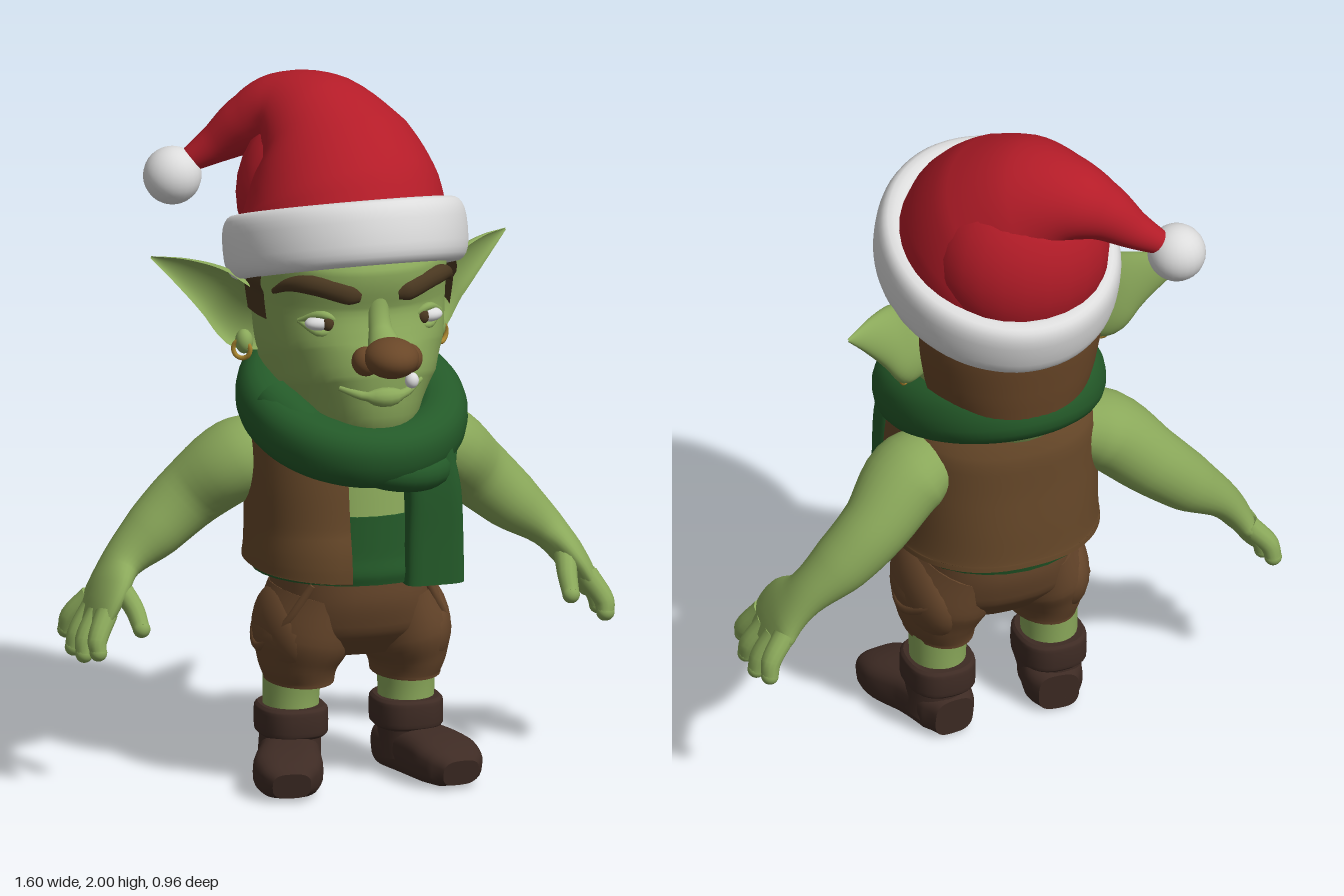
import * as THREE from 'three';

const mat = (name, color) => {
  const m = new THREE.MeshStandardMaterial({ color, side: THREE.DoubleSide });
  m.name = name;
  return m;
};
const V = (x, y, z) => new THREE.Vector3(x, y, z);
const UP = V(0, 1, 0), FRONT = V(0, 0, 1);
const TAU = Math.PI * 2;

// Superelliptic cross-sections [x, y, z, radiusA, radiusB] smoothly joined along a path.
function sweep(rows, { ref = FRONT, n = 2, seg = 28, steps = 5, closed = false, from = 0, to = TAU } = {}) {
  const path = new THREE.CatmullRomCurve3(rows.map(r => V(r[0], r[1], r[2])), closed);
  const size = new THREE.CatmullRomCurve3(rows.map(r => V(r[3], r[4], 0)), closed);
  const full = to - from > TAU - 0.001;
  const count = (closed ? rows.length : rows.length - 1) * steps;
  const rings = closed ? count : count + 1, cols = full ? seg : seg + 1;
  const pos = [], index = [], centres = [];
  for (let j = 0; j < rings; j++) {
    const t = j / count, c = path.getPoint(t), s = size.getPoint(t), T = path.getTangent(t);
    const A = V().crossVectors(T, ref).normalize(), B = V().crossVectors(A, T);
    centres.push(c);
    for (let i = 0; i < cols; i++) {
      const a = from + (to - from) * i / seg, k = Math.cos(a), l = Math.sin(a);
      const u = Math.sign(k) * Math.abs(k) ** (2 / n) * Math.max(s.x, 0.001);
      const v = Math.sign(l) * Math.abs(l) ** (2 / n) * Math.max(s.y, 0.001);
      const p = c.clone().addScaledVector(A, u).addScaledVector(B, v);
      pos.push(p.x, p.y, p.z);
    }
  }
  for (let j = 0; j < count; j++) {
    for (let i = 0; i < seg; i++) {
      const j2 = (j + 1) % rings, i2 = (i + 1) % cols;
      const a = j * cols + i, b = j2 * cols + i, c = j * cols + i2, d = j2 * cols + i2;
      index.push(a, b, c, b, d, c);
    }
  }
  // Flat end caps with their own vertices
  if (!closed && full) {
    for (const j of [0, rings - 1]) {
      const base = pos.length / 3;
      pos.push(...centres[j].toArray(), ...pos.slice(j * cols * 3, (j + 1) * cols * 3));
      for (let i = 0; i < cols; i++) {
        const p = base + 1 + i, q = base + 1 + (i + 1) % cols;
        if (j) index.push(base, q, p); else index.push(base, p, q);
      }
    }
  }
  const g = new THREE.BufferGeometry();
  g.setAttribute('position', new THREE.Float32BufferAttribute(pos, 3));
  g.setIndex(index);
  g.computeVertexNormals();
  return g;
}

// Rows of a tilted loop around the body; the front is raised by `lift`.
const loop = (y, z, rx, rz, lift, ra, rb) => Array.from({ length: 14 }, (_, i) => {
  const a = i / 14 * TAU;
  return [rx * Math.cos(a), y + lift * Math.sin(a), z + rz * Math.sin(a), ra, rb];
});

export function createModel() {
  const root = new THREE.Group();
  const skin = mat('green skin', 0x8aa85a), red = mat('hat red', 0xb41c28), white = mat('white', 0xdcdcdc);
  const green = mat('scarf green', 0x245a29), vestBrown = mat('vest brown', 0x674829);
  const pantsBrown = mat('shorts brown', 0x65452a), dark = mat('boot brown', 0x3e2b24);
  const noseBrown = mat('nose brown', 0x6a4728), hairBrown = mat('hair brown', 0x493720), gold = mat('gold', 0xa8842f);
  const add = (name, geo, material) => {
    const m = new THREE.Mesh(geo, material);
    m.name = name;
    root.add(m);
    return m;
  };
  const ball = (name, material, x, y, z, rx, ry = rx, rz = rx) =>
    add(name, new THREE.SphereGeometry(1, 24, 16).scale(rx, ry, rz).translate(x, y, z), material);
  const mirror = (s, rows) => rows.map(([x, ...rest]) => [x * s, ...rest]);

  // Head and hair
  add('head', sweep([[0, 1.04, 0.045, 0.12, 0.2], [0, 1.09, 0.045, 0.165, 0.285], [0, 1.17, 0.025, 0.22, 0.322],
    [0, 1.27, -0.005, 0.255, 0.318], [0, 1.4, -0.025, 0.268, 0.3], [0, 1.53, -0.025, 0.27, 0.322],
    [0, 1.6, -0.025, 0.24, 0.26]], { n: 2.2, seg: 40 }), skin);
  add('backHair', sweep([[0, 1.12, -0.04, 0.225, 0.29], [0, 1.25, -0.04, 0.265, 0.315], [0, 1.38, -0.04, 0.285, 0.335],
    [0, 1.47, -0.04, 0.285, 0.34]], { n: 2.2, from: Math.PI * 1.08, to: Math.PI * 1.92 }), noseBrown);

  // Nose and mouth
  ball('nose', noseBrown, 0, 1.315, 0.39, 0.078, 0.057, 0.088);
  add('noseBridge', sweep([[0, 1.52, 0.245, 0.03, 0.03], [0, 1.42, 0.262, 0.032, 0.032], [0, 1.37, 0.285, 0.035, 0.035],
    [0, 1.33, 0.33, 0.05, 0.045]]), skin);
  add('lowerLip', sweep([[-0.12, 1.21, 0.285, 0.008, 0.008], [-0.05, 1.19, 0.328, 0.014, 0.014],
    [0.05, 1.19, 0.328, 0.014, 0.014], [0.12, 1.22, 0.285, 0.008, 0.008]], { ref: UP, seg: 12 }), skin);
  ball('tooth', white, 0.08, 1.228, 0.328, 0.02, 0.023, 0.02);

  for (const s of [1, -1]) {
    // Facial features
    const side = s > 0 ? [-0.1, 0.3] : [Math.PI - 0.3, Math.PI + 0.1];
    add('sideburn', sweep([[0, 1.37, -0.03, 0.282, 0.32], [0, 1.45, -0.03, 0.292, 0.33], [0, 1.54, -0.03, 0.292, 0.33]],
      { n: 2.2, seg: 10, from: side[0], to: side[1] }), hairBrown);
    ball('nostril', noseBrown, s * 0.063, 1.3, 0.35, 0.04, 0.042, 0.045);
    ball('eyeWhite', white, s * 0.158, 1.388, 0.222, 0.045, 0.022, 0.03);
    ball('iris', hairBrown, s * 0.14, 1.388, 0.242, 0.018, 0.021, 0.016);
    const lid = dy => mirror(s, [[0.1, 1.386, 0.245, 0.006, 0.006], [0.155, 1.388 + dy, 0.235, 0.012, 0.012],
      [0.21, 1.388, 0.18, 0.006, 0.006]]);
    add('upperEyelid', sweep(lid(0.026), { ref: UP, seg: 12 }), skin);
    add('lowerEyelid', sweep(lid(-0.028), { ref: UP, seg: 12 }), skin);
    add('eyebrow', sweep(mirror(s, [[0.055, 1.47, 0.275, 0.012, 0.018], [0.09, 1.478, 0.272, 0.022, 0.03],
      [0.18, 1.5, 0.225, 0.024, 0.029], [0.23, 1.492, 0.17, 0.018, 0.02], [0.262, 1.46, 0.11, 0.006, 0.008]]),
    { ref: UP, seg: 14 }), hairBrown);

    // Cupped ear and earring
    add('ear', sweep(mirror(s, [[0.22, 1.31, -0.045, 0.08, 0.045], [0.29, 1.345, -0.07, 0.115, 0.055],
      [0.36, 1.41, -0.11, 0.09, 0.045], [0.44, 1.46, -0.155, 0.05, 0.025], [0.525, 1.5, -0.205, 0.003, 0.003]]),
    { ref: V(s * 0.8, 0, 0.4), from: Math.PI * 0.95, to: Math.PI * 2.05 }), skin);
    ball('earLobe', skin, s * 0.285, 1.265, -0.09, 0.025, 0.035, 0.03);
    add('earring', new THREE.TorusGeometry(0.026, 0.007, 8, 20).rotateY(s * 0.7)
      .translate(s * 0.295, 1.245, -0.08), gold);

    // Arm, hand and fingers
    add('arm', sweep(mirror(s, [[0.2, 0.96, -0.1, 0.09, 0.1], [0.3, 0.92, -0.11, 0.112, 0.13],
      [0.42, 0.815, -0.16, 0.1, 0.1], [0.53, 0.715, -0.165, 0.085, 0.09], [0.63, 0.63, -0.15, 0.055, 0.075],
      [0.69, 0.55, -0.11, 0.042, 0.115], [0.73, 0.475, -0.1, 0.03, 0.11]])), skin);
    const fingers = [[[0.71, 0.53, -0.185], [0.762, 0.47, -0.212], [0.77, 0.43, -0.222]],
      [[0.72, 0.51, -0.14], [0.765, 0.44, -0.135], [0.775, 0.4, -0.135]],
      [[0.72, 0.51, -0.08], [0.765, 0.44, -0.06], [0.77, 0.4, -0.05]],
      [[0.71, 0.52, -0.03], [0.75, 0.45, 0.01], [0.75, 0.42, 0.02]],
      [[0.66, 0.585, -0.08], [0.64, 0.535, 0.01], [0.635, 0.49, 0.06]]];
    for (const f of fingers) {
      add('finger', sweep(mirror(s, f.map((p, i) => [...p, 0.032 - i * 0.004, 0.034 - i * 0.004])), { seg: 12 }), skin);
      const [x, y, z] = f[2];
      ball('fingertip', skin, s * x, y, z, 0.025);
    }

    // Shorts leg, pocket and bare leg
    add('shortsLeg', sweep(mirror(s, [[0.12, 0.55, 0.01, 0.11, 0.2], [0.148, 0.43, 0.015, 0.135, 0.19],
      [0.158, 0.36, 0.015, 0.115, 0.16], [0.157, 0.31, 0.015, 0.097, 0.14], [0.157, 0.3, 0.015, 0.096, 0.138]])), pantsBrown);
    ball('pocketBulge', pantsBrown, s * 0.19, 0.44, 0.01, 0.09, 0.14, 0.175);
    add('pocketEdge', sweep(mirror(s, [[0.165, 0.61, 0.175, 0.012, 0.012], [0.235, 0.48, 0.125, 0.014, 0.014],
      [0.272, 0.4, 0.01, 0.016, 0.016], [0.24, 0.45, -0.11, 0.014, 0.014], [0.16, 0.53, -0.15, 0.012, 0.012]]),
    { ref: V(1, 0, 0), seg: 10 }), pantsBrown);
    add('leg', sweep(mirror(s, [[0.17, 0.15, -0.015, 0.078, 0.085], [0.17, 0.25, -0.015, 0.08, 0.088],
      [0.165, 0.36, -0.01, 0.085, 0.1]])), skin);

    // Boot
    add('bootFoot', sweep(mirror(s, [[0.16, 0.062, -0.115, 0.06, 0.06], [0.165, 0.068, -0.06, 0.085, 0.068],
      [0.195, 0.072, 0.05, 0.088, 0.072], [0.23, 0.066, 0.15, 0.1, 0.066], [0.245, 0.056, 0.215, 0.085, 0.055],
      [0.25, 0.048, 0.25, 0.055, 0.038]]), { ref: UP, n: 3 }), dark);
    add('bootShaft', sweep(mirror(s, [[0.18, 0.05, 0, 0.088, 0.115], [0.175, 0.12, -0.008, 0.086, 0.105],
      [0.17, 0.19, -0.012, 0.086, 0.1]])), dark);
    add('bootCuff', sweep(mirror(s, [[0.17, 0.135, -0.015, 0.09, 0.104], [0.17, 0.145, -0.015, 0.099, 0.113],
      [0.17, 0.18, -0.015, 0.1, 0.115], [0.17, 0.212, -0.015, 0.099, 0.113], [0.17, 0.222, -0.015, 0.09, 0.104]]),
    { n: 2.5, steps: 3 }), dark);
  }

  // Torso, shirt, open vest and shorts
  add('chest', sweep([[0, 0.78, 0, 0.255, 0.265], [0, 0.95, -0.01, 0.25, 0.25], [0, 1.1, -0.02, 0.17, 0.18]]), skin);
  add('shirt', sweep([[0, 0.62, -0.005, 0.28, 0.272], [0, 0.65, -0.005, 0.288, 0.28], [0, 0.7, -0.005, 0.27, 0.275],
    [0, 0.82, -0.005, 0.262, 0.272]]), green);
  add('vest', sweep([[0, 0.645, 0.02, 0.305, 0.315], [0, 0.67, 0.02, 0.303, 0.313], [0, 0.75, 0.01, 0.297, 0.3],
    [0, 0.88, 0, 0.295, 0.288], [0, 1.02, -0.015, 0.285, 0.272], [0, 1.1, -0.02, 0.23, 0.24], [0, 1.13, -0.02, 0.16, 0.18]],
  { n: 2.3, seg: 48, from: Math.PI / 2 + 0.26, to: Math.PI * 2.5 - 0.75 }), vestBrown);
  add('shortsSeat', sweep([[0, 0.67, 0.01, 0.215, 0.23], [0, 0.57, 0.01, 0.225, 0.235], [0, 0.47, 0.01, 0.235, 0.21],
    [0, 0.39, 0.01, 0.17, 0.14]], { n: 2.3 }), pantsBrown);

  // Scarf
  add('scarfWrap', sweep(loop(1.09, 0.015, 0.245, 0.28, -0.085, 0.08, 0.09),
    { ref: V(0, 0.96, 0.27), closed: true, seg: 20, n: 2.3 }), green);
  add('scarfOverlap', sweep([[-0.24, 1.13, 0.05, 0.07, 0.06], [-0.15, 1.04, 0.24, 0.065, 0.06],
    [0.02, 0.965, 0.3, 0.06, 0.06], [0.16, 0.95, 0.265, 0.055, 0.055], [0.23, 1.0, 0.15, 0.04, 0.05]],
  { ref: UP, seg: 20 }), green);
  add('scarfTail', sweep([[0.15, 1.0, 0.245, 0.07, 0.05], [0.165, 0.88, 0.245, 0.08, 0.055],
    [0.167, 0.74, 0.245, 0.085, 0.052], [0.167, 0.615, 0.245, 0.087, 0.052]], { n: 4 }), green);

  // Hat
  add('hatCone', sweep([[0, 1.56, -0.055, 0.3, 0.32], [0, 1.66, -0.095, 0.285, 0.3], [-0.02, 1.755, -0.15, 0.25, 0.25],
    [-0.06, 1.83, -0.215, 0.19, 0.19], [-0.125, 1.858, -0.285, 0.128, 0.13], [-0.2, 1.83, -0.33, 0.088, 0.09],
    [-0.28, 1.77, -0.37, 0.056, 0.055], [-0.37, 1.71, -0.4, 0.03, 0.03]], { seg: 36, steps: 6 }), red);
  ball('hatBack', red, -0.01, 1.66, -0.19, 0.26, 0.27, 0.215);
  add('hatBrim', sweep(loop(1.555, -0.045, 0.297, 0.325, 0.1, 0.047, 0.092),
    { ref: V(0, 0.96, -0.28), closed: true, n: 2.7, seg: 24 }), white);
  ball('pompom', white, -0.4, 1.68, -0.4, 0.083);

  // Stand on the ground and centre the model
  const box = new THREE.Box3().setFromObject(root), c = box.getCenter(V());
  root.children.forEach(m => m.position.set(-c.x, -box.min.y, 0));
  return root;
}
